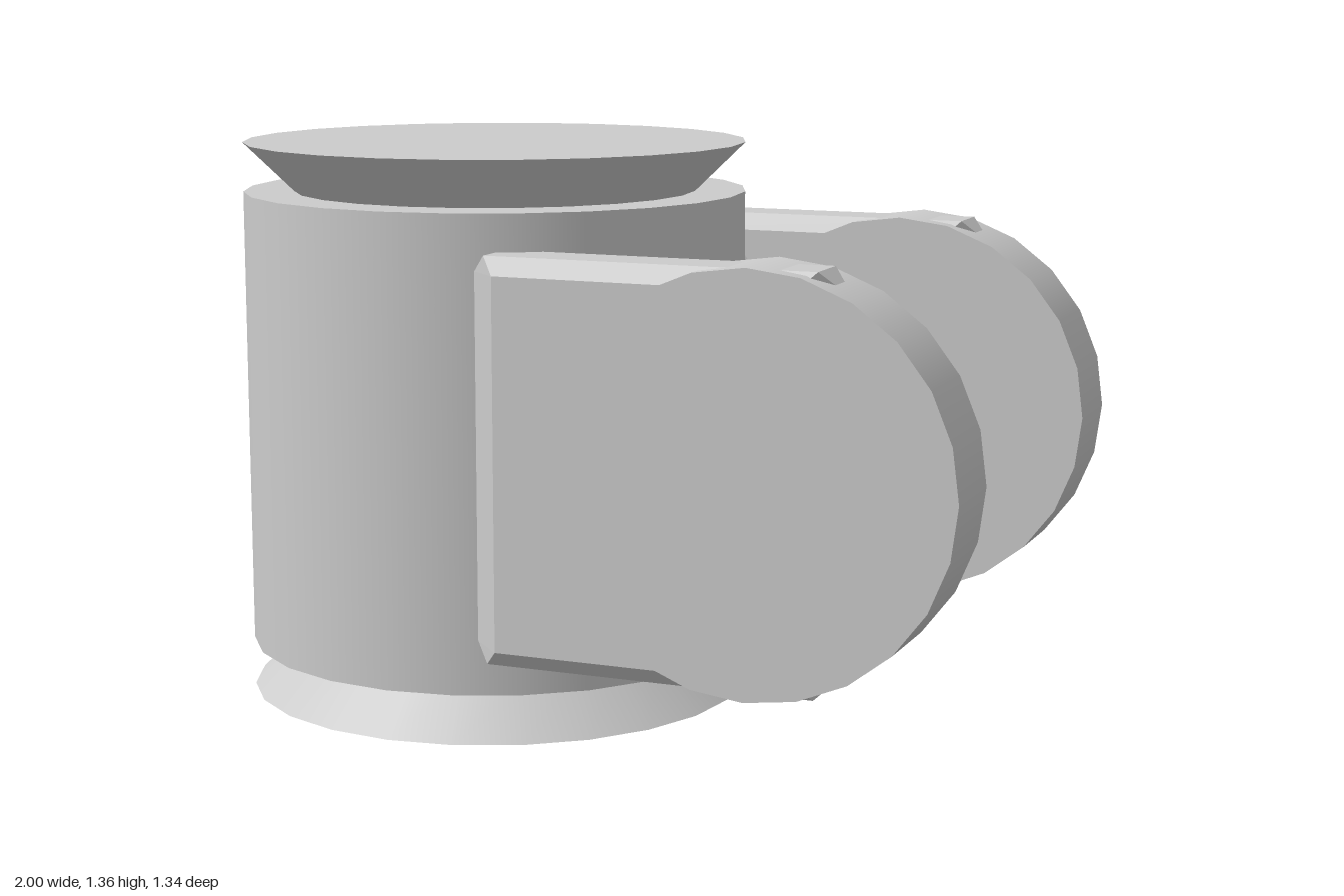
import * as THREE from 'three';
import { ConvexGeometry } from 'three/addons/geometries/ConvexGeometry.js';

// Box with bevelled edges: cxz, cxy and cyz are the bevel widths between each pair of sides
function bevelledBox(hx, hy, hz, cxz, cxy, cyz) {
  const points = [];
  for (const sx of [-1, 1]) for (const sy of [-1, 1]) for (const sz of [-1, 1]) {
    points.push(
      new THREE.Vector3(sx * hx, sy * (hy - cxy), sz * (hz - cxz)),
      new THREE.Vector3(sx * (hx - cxy), sy * hy, sz * (hz - cyz)),
      new THREE.Vector3(sx * (hx - cxz), sy * (hy - cyz), sz * hz)
    );
  }
  return new ConvexGeometry(points);
}

export function createModel() {
  const group = new THREE.Group();
  const grey = new THREE.MeshStandardMaterial({ color: 0xcccccc });
  grey.name = 'light grey';

  const add = (name, geometry, x, y, z) => {
    const mesh = new THREE.Mesh(geometry, grey);
    mesh.name = name;
    mesh.position.set(x, y, z);
    group.add(mesh);
    return mesh;
  };

  // Upright drum with a flared foot and cap
  const drumX = -0.38, sides = 24;
  add('drum', new THREE.CylinderGeometry(0.618, 0.618, 1.12, sides), drumX, 0.68, 0);
  add('flaredFoot', new THREE.CylinderGeometry(0.495, 0.618, 0.12, sides), drumX, 0.06, 0);
  add('flaredCap', new THREE.CylinderGeometry(0.618, 0.495, 0.12, sides), drumX, 1.30, 0);

  // Inner block whose corners just break through the drum wall
  add('innerBlock', bevelledBox(0.24, 0.435, 0.45, 0.13, 0.08, 0.08), -0.063, 0.683, 0);

  // Pair of arms, each ending in a round disc
  for (const side of [1, -1]) {
    const prefix = side > 0 ? 'front' : 'back';
    add(prefix + 'Arm', bevelledBox(0.435, 0.47, 0.1, 0.08, 0.042, 0.04), 0.275, 0.682, side * 0.56);
    const disc = add(prefix + 'Disc', new THREE.CylinderGeometry(0.478, 0.478, 0.218, sides), 0.522, 0.682, side * 0.56);
    disc.rotation.x = Math.PI / 2;
  }
  return group;
}
